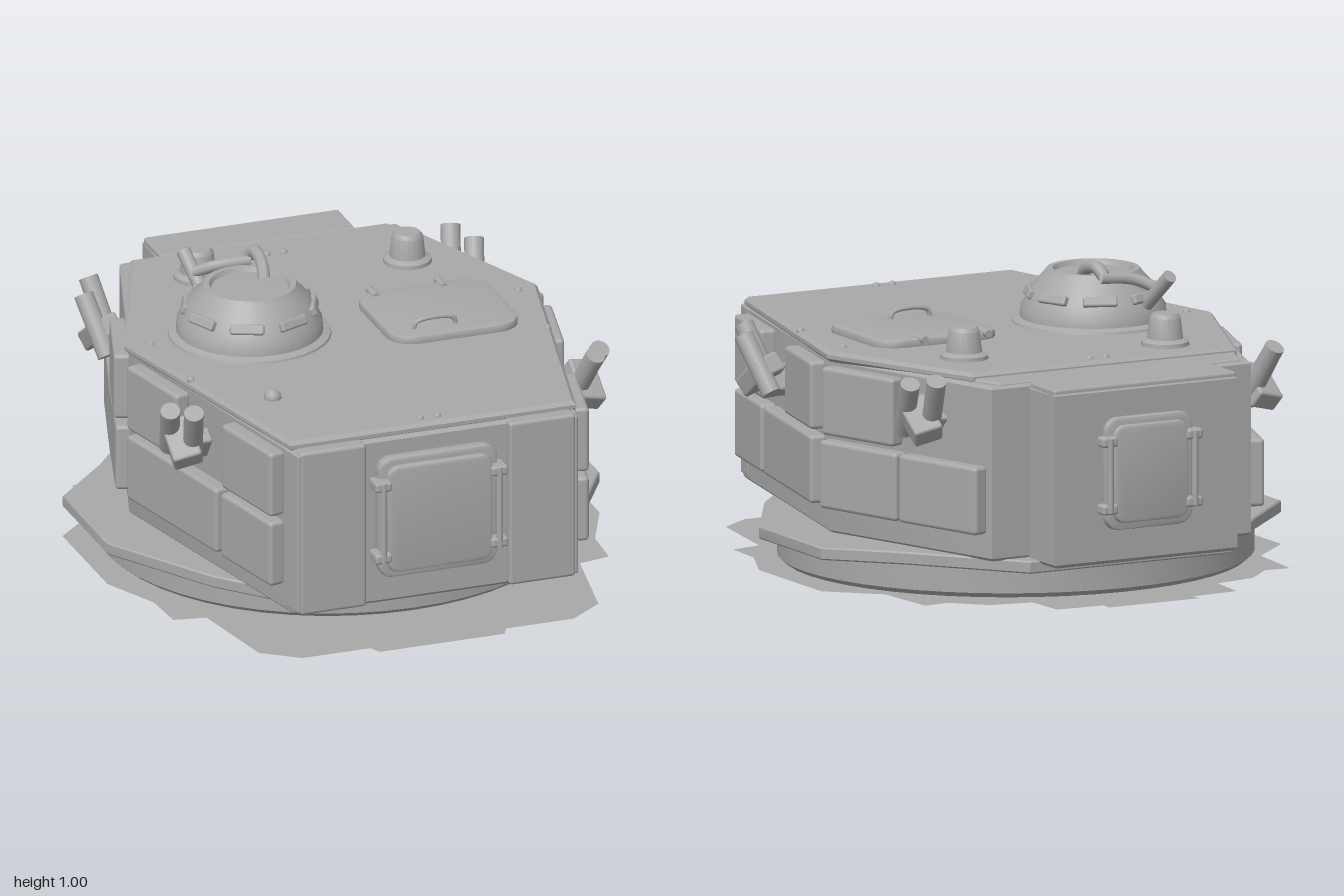
import * as THREE from 'three';
import { RoundedBoxGeometry } from 'three/addons/geometries/RoundedBoxGeometry.js';
import { toCreasedNormals } from 'three/addons/utils/BufferGeometryUtils.js';

export function createModel() {
  const root = new THREE.Group();
  root.name = 'armouredTurret';
  const grey = new THREE.MeshStandardMaterial({ color: 0xa8a8a8, side: THREE.DoubleSide });
  grey.name = 'plain grey';

  const add = (name, geo, x = 0, y = 0, z = 0, parent = root) => {
    const m = new THREE.Mesh(geo, grey);
    m.name = name;
    m.position.set(x, y, z);
    parent.add(m);
    return m;
  };
  const box = (w, h, d, r = 0.01) => new RoundedBoxGeometry(w, h, d, 2, r);
  const crease = (g) => toCreasedNormals(g, 0.6);

  // Half outline [x, z] running front to back, mirrored into a full shape
  const mirrored = (half) => {
    const pts = half.map(([x, z]) => new THREE.Vector2(x, -z));
    const other = half.map(([x, z]) => new THREE.Vector2(-x, -z)).reverse();
    return new THREE.Shape(pts.concat(other));
  };
  // Horizontal plate from y0 to y1
  const slab = (name, half, y0, y1, bevel) => {
    const g = new THREE.ExtrudeGeometry(mirrored(half), {
      depth: y1 - y0 - 2 * bevel, bevelThickness: bevel, bevelSize: bevel,
      bevelOffset: -bevel, bevelSegments: 1,
    });
    g.rotateX(-Math.PI / 2);
    add(name, crease(g), 0, y0 + bevel, 0);
  };
  const roundRect = (w, h, r) => {
    const s = new THREE.Shape(), a = w / 2, b = h / 2;
    s.absarc(a - r, b - r, r, 0, Math.PI / 2);
    s.absarc(-a + r, b - r, r, Math.PI / 2, Math.PI);
    s.absarc(-a + r, -b + r, r, Math.PI, Math.PI * 1.5);
    s.absarc(a - r, -b + r, r, Math.PI * 1.5, Math.PI * 2);
    return s;
  };
  // Rounded plate whose back lies near local z = 0
  const plate = (w, h, r, t) => {
    const g = new THREE.ExtrudeGeometry(roundRect(w, h, r), {
      depth: t - 0.01, bevelThickness: 0.01, bevelSize: 0.01, bevelOffset: -0.01,
      bevelSegments: 2, curveSegments: 6,
    });
    return crease(g);
  };
  const tube = (name, pts, r, parent = root) => add(name, new THREE.TubeGeometry(
    new THREE.CatmullRomCurve3(pts.map((p) => new THREE.Vector3(...p))), 16, r, 8), 0, 0, 0, parent);
  const rod = (name, a, b, r, parent = root) => {
    const p = new THREE.Vector3(...a), d = new THREE.Vector3(...b).sub(p);
    const m = add(name, new THREE.CylinderGeometry(r, r, d.length(), 16), 0, 0, 0, parent);
    m.position.copy(p).addScaledVector(d, 0.5);
    m.quaternion.setFromUnitVectors(new THREE.Vector3(0, 1, 0), d.normalize());
  };
  const lathe = (profile, sides) => crease(new THREE.LatheGeometry(
    profile.map(([x, y]) => new THREE.Vector2(x, y)), sides));

  // Thin ground sheet, ring and flange
  const sheet = new THREE.ShapeGeometry(mirrored([
    [0.22, 0.99], [0.24, 0.95], [0.48, 0.95], [0.6, 0.86], [0.66, 0.52], [0.77, 0.5], [0.78, 0.34],
    [0.87, 0.14], [0.87, -0.29], [0.71, -0.44], [0.69, -0.68], [0.6, -0.67], [0.5, -0.77],
    [0.35, -0.8], [0.34, -0.95], [0.17, -0.96], [0.17, -1]]));
  sheet.rotateX(-Math.PI / 2);
  add('groundSheet', sheet);
  const ring = lathe([[0, 0.003], [0.78, 0.003], [0.8, 0.02], [0.8, 0.12], [0, 0.12]], 48);
  ring.scale(1, 1, 0.96);
  add('turretRing', ring, 0, 0, -0.045);
  slab('ringFlange', [[0.38, 0.81], [0.64, 0.52], [0.87, 0.14], [0.87, -0.29], [0.66, -0.5], [0.38, -0.84]],
    0.105, 0.148, 0.005);

  // Hull, with a lip-edged roof stepping down at the back
  slab('hull', [[0.5, 0.92], [0.715, -0.07], [0.49, -0.775]], 0.145, 0.735, 0.01);
  slab('roof', [[0.505, 0.905], [0.73, -0.075], [0.5, -0.66]], 0.725, 0.762, 0.012);
  slab('rearRoof', [[0.5, -0.64], [0.455, -0.765]], 0.72, 0.745, 0.008);
  slab('rearBox', [[0.35, -0.74], [0.345, -0.945]], 0.135, 0.73, 0.012);
  add('rearBoxLid', box(0.69, 0.03, 0.17), 0, 0.725, -0.855);
  for (const s of [-1, 1]) {
    add('frontBlock', box(0.235, 0.585, 0.06, 0.012), s * 0.37, 0.445, 0.922);
    const wing = add('frontCornerPlate', box(0.02, 0.57, 0.09, 0.008), s * 0.495, 0.445, 0.905);
    wing.rotation.y = -s * 0.22;
    for (const [x, z] of [[0.03, 0.86], [0.03, -0.61], [0.63, 0.29], [0.65, -0.04]]) {
      add('roofStud', new THREE.SphereGeometry(0.014, 8, 6), s * x, 0.76, z);
    }
  }

  // Side armour tiles following the two wall planes
  const wallX = (z) => (z > -0.07 ? 0.5 + (0.92 - z) * 0.217 : 0.715 + (z + 0.07) * 0.319);
  const tiles = [
    [0.86, 0.56, 0.485, 0.715], [0.29, -0.01, 0.485, 0.715], [-0.075, -0.385, 0.485, 0.715],
    [0.86, 0.555, 0.235, 0.465], [0.53, -0.01, 0.235, 0.465],
    [-0.06, -0.4, 0.235, 0.465], [-0.41, -0.75, 0.235, 0.465]];
  for (const s of [-1, 1]) for (const [z0, z1, y0, y1] of tiles) {
    const x0 = wallX(z0), x1 = wallX(z1), dx = x0 - x1, dz = z0 - z1;
    const len = Math.hypot(dx, dz), off = 0.022;
    const m = add('armourTile', box(0.06, y1 - y0, len, 0.014),
      s * ((x0 + x1) / 2 + off * dz / len), (y0 + y1) / 2, (z0 + z1) / 2 - off * dx / len);
    m.rotation.y = s * Math.atan2(dx, dz);
  }

  // Upright hatches on the front and back, with hinges and grab bars
  const doorHatch = (name, w, h, depth) => {
    const g = new THREE.Group();
    g.name = name;
    root.add(g);
    add('hatchFrame', plate(w, h, 0.05, depth * 0.5), 0, 0, 0, g);
    add('hatchDoor', plate(w - 0.05, h - 0.05, 0.04, depth * 0.78), 0, 0, 0, g);
    for (const s of [-1, 1]) {
      const x = s * (w / 2 - 0.005);
      for (const v of [-1, 1]) add('hinge', box(0.06, 0.035, depth * 0.9), x, v * h * 0.3, depth * 0.5, g);
      rod('grabBar', [x, -h * 0.33, depth * 0.85], [x, h * 0.33, depth * 0.85], 0.011, g);
    }
    return g;
  };
  doorHatch('frontHatch', 0.42, 0.43, 0.08).position.set(0, 0.46, 0.917);
  const back = doorHatch('rearHatch', 0.33, 0.38, 0.055);
  back.position.set(0, 0.44, -0.943);
  back.rotation.y = Math.PI;

  // Domed cupola with vision blocks and an opened hatch arm
  const cupola = new THREE.Group();
  cupola.name = 'cupola';
  cupola.position.set(-0.31, 0, -0.015);
  root.add(cupola);
  add('cupolaDome', lathe([
    [0.275, 0.755], [0.27, 0.77], [0.245, 0.778], [0.242, 0.815], [0.222, 0.845], [0.2, 0.89],
    [0.165, 0.925], [0.155, 0.94], [0.135, 0.94], [0.128, 0.925], [0, 0.93]], 32), 0, 0, 0, cupola);
  for (let i = 0; i < 8; i++) {
    const a = (i + 0.5) * Math.PI / 4;
    const b = add('visionBlock', box(0.115, 0.035, 0.035, 0.008),
      Math.sin(a) * 0.208, 0.86, Math.cos(a) * 0.208, cupola);
    b.rotation.set(-0.45, a, 0, 'YXZ');
  }
  tube('hatchArm', [[0.07, 0.92, -0.05], [0.08, 0.96, -0.1], [0.08, 0.975, -0.17], [0.07, 0.95, -0.2]], 0.022, cupola);
  rod('hatchLever', [-0.09, 0.84, -0.2], [-0.12, 0.95, -0.31], 0.024, cupola);
  tube('hatchHinge', [[-0.11, 0.9, -0.24], [-0.04, 0.93, -0.2], [0.07, 0.94, -0.18]], 0.02, cupola);

  // Flat roof hatch with hinges and handle
  const lid = add('roofHatch', plate(0.46, 0.42, 0.09, 0.03), 0.33, 0.758, 0.06);
  lid.rotation.x = -Math.PI / 2;
  for (const x of [0.17, 0.41]) rod('roofHatchHinge', [x, 0.785, -0.17], [x, 0.785, -0.1], 0.013);
  tube('roofHatchHandle', [[0.19, 0.78, 0.2], [0.2, 0.81, 0.2], [0.33, 0.81, 0.2], [0.34, 0.78, 0.2]], 0.008);

  // Roof posts and small knob
  for (const [x, z] of [[-0.31, -0.51], [0.39, -0.4]]) {
    add('roofPost', lathe([[0.082, 0.755], [0.08, 0.775], [0.06, 0.785], [0.052, 0.855],
      [0.042, 0.868], [0, 0.868]], 20), x, 0, z);
  }
  add('roofKnob', new THREE.SphereGeometry(0.03, 12, 8), -0.43, 0.765, 0.53);

  // Paired smoke launchers on angled brackets
  for (const s of [-1, 1]) for (const [x, z, dir] of [[0.7, 0.42, 1], [0.63, -0.55, -1]]) {
    const g = new THREE.Group();
    g.name = 'smokeLauncher';
    g.position.set(s * x, 0.6, z);
    root.add(g);
    const bracket = add('launcherBracket', box(0.1, 0.07, 0.16), s * 0.01, 0, 0, g);
    bracket.rotation.set(dir * 0.6, 0, -s * 0.3);
    const foot = add('launcherFoot', box(0.1, 0.1, 0.06), -s * 0.04, -0.02, -dir * 0.02, g);
    foot.rotation.x = dir * 0.6;
    for (const k of [0, 1]) {
      const tx = s * (k * 0.05 - 0.02), tz = dir * (0.045 - k * 0.09);
      rod('launcherTube', [tx - s * 0.01, -0.05, tz - dir * 0.05],
        [tx + s * 0.03, 0.15 - k * 0.02, tz + dir * 0.07], 0.033, g);
    }
  }
  return root;
}
